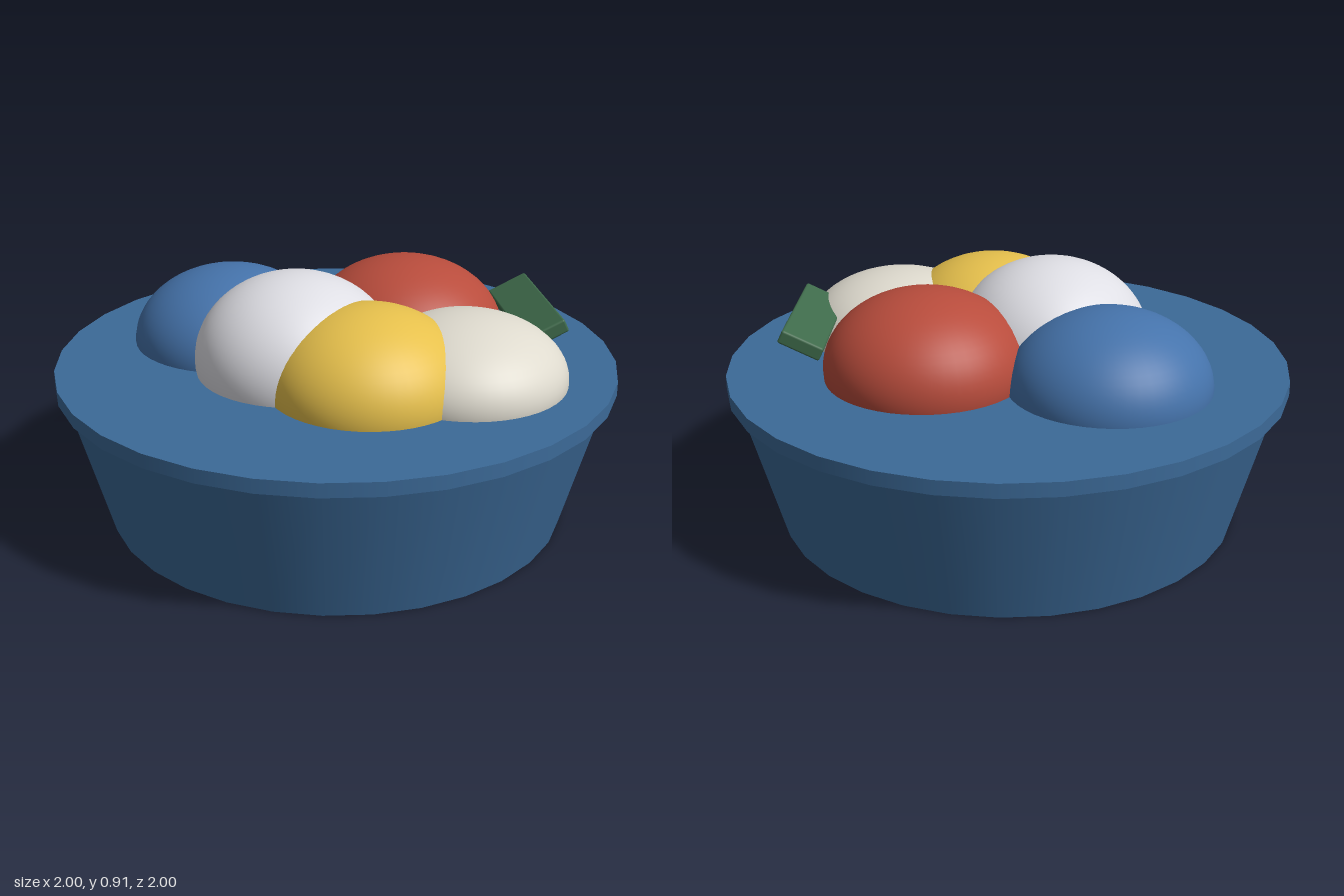
import * as THREE from 'three';
import { RoundedBoxGeometry } from 'three/addons/geometries/RoundedBoxGeometry.js';

export function createModel() {
  const model = new THREE.Group();

  function add(name, geometry, color, x, y, z) {
    const mesh = new THREE.Mesh(geometry, new THREE.MeshStandardMaterial({ color }));
    mesh.name = name;
    mesh.position.set(x, y, z);
    model.add(mesh);
    return mesh;
  }

  // Tapered bowl and its wider closed rim
  const bowlBlue = 0x3c6a98;
  add('bowl', new THREE.CylinderGeometry(0.97, 0.83, 0.515, 32), bowlBlue, 0, 0.2575, 0);
  add('rim', new THREE.CylinderGeometry(1, 1, 0.05, 32), bowlBlue, 0, 0.54, 0);

  // Flattened scoops overlapping one another: centre, radius, half height
  const scoops = [
    ['blueScoop', 0x4573ab, -0.355, 0.57, -0.245, 0.357, 0.265],
    ['whiteScoop', 0xdedee4, -0.155, 0.61, 0.09, 0.355, 0.3],
    ['redScoop', 0xb84c3c, 0.28, 0.6, -0.155, 0.36, 0.27],
    ['yellowScoop', 0xe6c04c, 0.065, 0.59, 0.31, 0.35, 0.265],
    ['creamScoop', 0xdedace, 0.41, 0.58, 0.28, 0.355, 0.22],
  ];
  for (const [name, color, x, y, z, radius, halfHeight] of scoops) {
    const scoop = add(name, new THREE.SphereGeometry(1, 48, 32), color, x, y, z);
    scoop.scale.set(radius, halfHeight, radius);
  }

  // Tilted green slab resting against the scoops
  const slab = add('garnish', new RoundedBoxGeometry(0.155, 0.05, 0.52, 2, 0.008), 0x3f6b4b, 0.7, 0.704, 0);
  slab.rotation.z = 0.45;

  return model;
}
